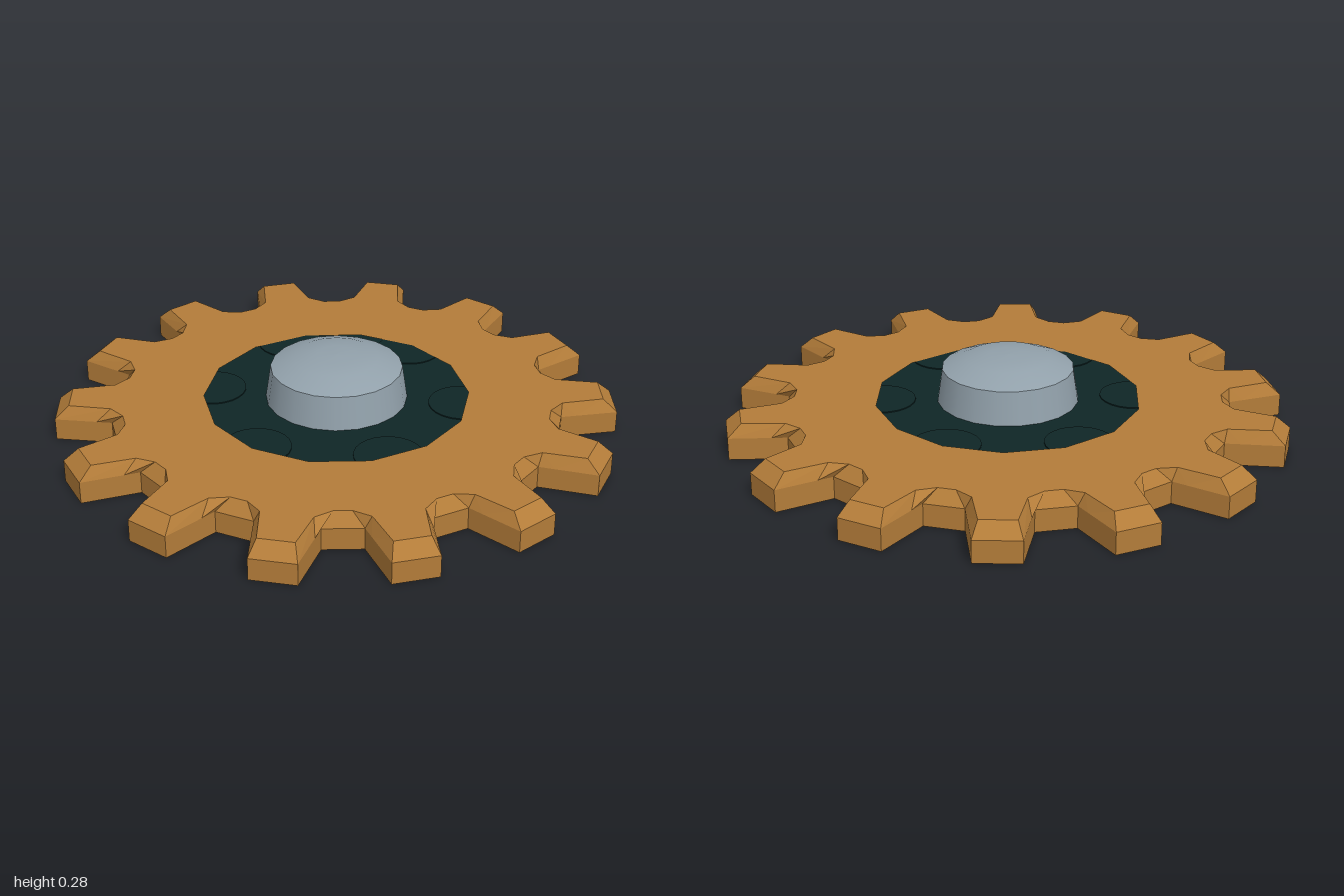
import * as THREE from 'three';

const TEETH = 14;
const STEP = (Math.PI * 2) / TEETH;

// Repeats half a tooth profile (along, across), mirrored, around the circle
function gearOutline(half, scale = 1) {
  const tooth = [
    ...half.slice().reverse().map(([a, b]) => [a, -b]),
    ...half,
  ];
  const pts = [];
  for (let i = 0; i < TEETH; i++) {
    const c = Math.cos(i * STEP) * scale, s = Math.sin(i * STEP) * scale;
    for (const [a, b] of tooth) pts.push(new THREE.Vector2(a * c - b * s, a * s + b * c));
  }
  return pts;
}

// Flat-faced band joining two outlines at different heights
function band(lower, y0, upper, y1) {
  const pos = [];
  const v = (p, y) => [p.x, y, -p.y];
  lower.forEach((p, i) => {
    const j = (i + 1) % lower.length;
    const a = v(p, y0), b = v(lower[j], y0), c = v(upper[j], y1), d = v(upper[i], y1);
    pos.push(...a, ...b, ...c, ...a, ...c, ...d);
  });
  const g = new THREE.BufferGeometry();
  g.setAttribute('position', new THREE.Float32BufferAttribute(pos, 3));
  g.computeVertexNormals();
  return g;
}

function plate(shape, y) {
  return new THREE.ShapeGeometry(shape).rotateX(-Math.PI / 2).translate(0, y, 0);
}

export function createModel() {
  const group = new THREE.Group();
  const bronze = new THREE.MeshStandardMaterial({ color: 0xb37c39, side: THREE.DoubleSide });
  bronze.name = 'bronze';
  const dark = new THREE.MeshStandardMaterial({ color: 0x0f2626, side: THREE.DoubleSide });
  dark.name = 'darkTeal';
  const steel = new THREE.MeshStandardMaterial({ color: 0x92a1ab, side: THREE.DoubleSide });
  steel.name = 'steel';

  const add = (name, geometry, material, parent = group) => {
    const m = new THREE.Mesh(geometry, material);
    m.name = name;
    parent.add(m);
    return m;
  };

  // Toothed shell, open underneath
  const outer = gearOutline([[1, 0.08], [0.85, 0.102], [0.795, 0.11]]);
  const inner = gearOutline([[0.95, 0.062], [0.8, 0.088], [0.752, 0.14]]);
  add('toothWall', band(outer, 0, outer, 0.08), bronze);
  add('toothBevel', band(outer, 0.08, inner, 0.125), bronze);

  // Top face with a fourteen-sided opening
  const face = new THREE.Shape(inner);
  const opening = [];
  for (let i = 0; i < TEETH; i++) {
    opening.push(new THREE.Vector2(0.475 * Math.cos(i * STEP), 0.475 * Math.sin(i * STEP)));
  }
  face.holes.push(new THREE.Path(opening.reverse()));
  add('gearFace', plate(face, 0.125), bronze);

  // Dark toothed plate under the face, seen through the opening
  const star = new THREE.Shape(gearOutline([[1, 0.08], [0.795, 0.11]], 0.67));
  add('darkPlate', plate(star, 0.118), dark);

  // Six round studs in the dark plate
  const studs = new THREE.Group();
  studs.name = 'studs';
  group.add(studs);
  for (let i = 0; i < 6; i++) {
    const a = (i * Math.PI) / 3;
    const stud = add('stud', new THREE.CylinderGeometry(0.12, 0.12, 0.014, 24), dark, studs);
    stud.position.set(0.45 * Math.cos(a), 0.115, 0.45 * Math.sin(a));
  }

  // Hub: tapered side and shallow domed cap
  const lathe = (pts) => new THREE.LatheGeometry(pts.map(([x, y]) => new THREE.Vector2(x, y)), 20);
  add('hubSide', lathe([[0.253, 0.119], [0.235, 0.24]]), steel);
  add('hubCap', lathe([[0.235, 0.24], [0.15, 0.275], [0.07, 0.283], [0, 0.285]]), steel);

  return group;
}
